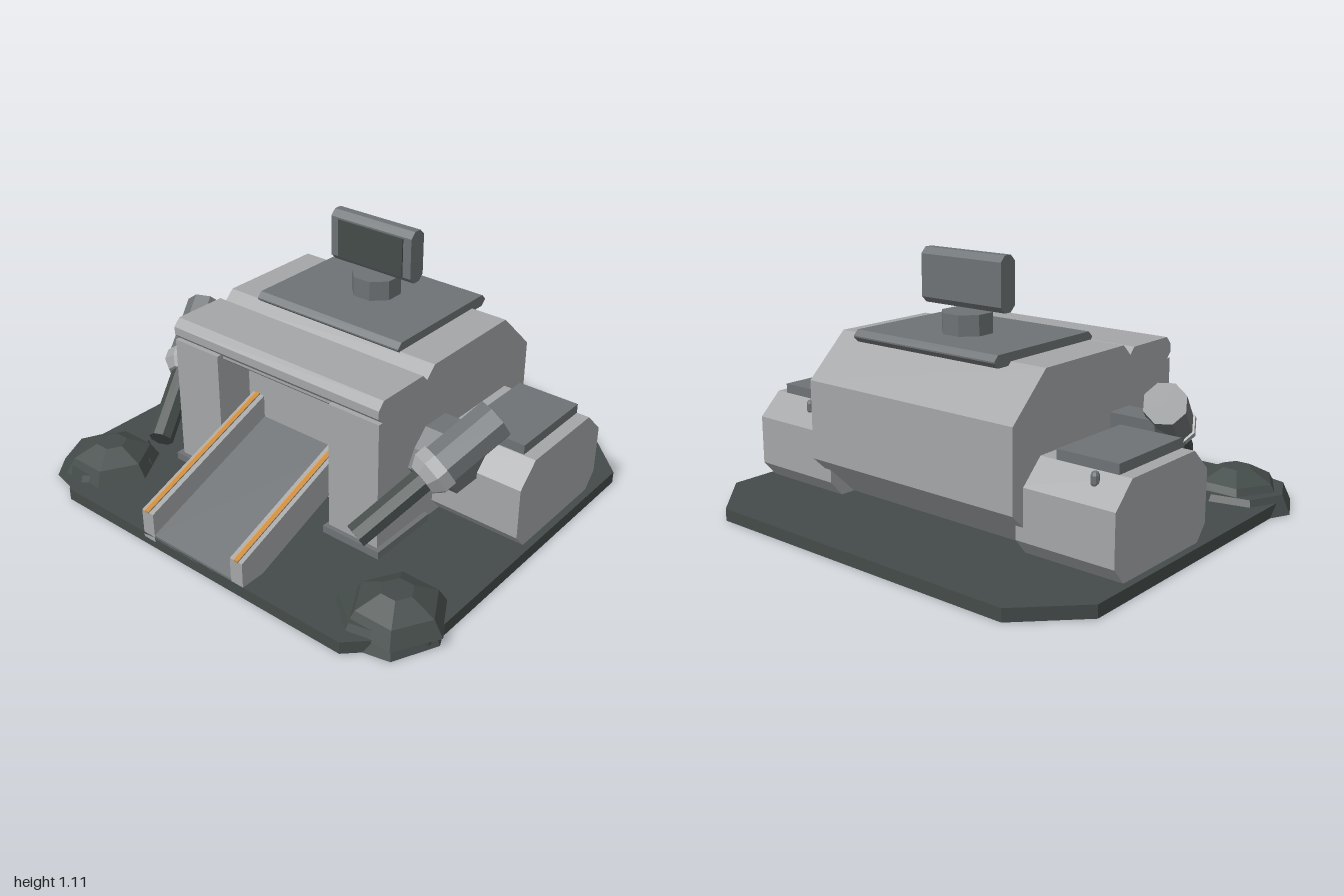
import * as THREE from 'three';

const CX = 0.011; // centre line of the building

const paint = (name, color) => {
  const m = new THREE.MeshStandardMaterial({ color });
  m.name = name;
  return m;
};

// Faceted normals for every face
function flat(geometry) {
  const g = geometry.index ? geometry.toNonIndexed() : geometry;
  g.computeVertexNormals();
  return g;
}

// Extrudes a [z, y] side profile from x0 to x1
function extrudeX(profile, x0, x1) {
  const shape = new THREE.Shape(profile.map(([z, y]) => new THREE.Vector2(z, y)));
  const g = new THREE.ExtrudeGeometry(shape, { depth: x1 - x0, bevelEnabled: false });
  return g.rotateY(-Math.PI / 2).translate(x1, 0, 0);
}

// Box given by its limits
function box(x0, x1, y0, y1, z0, z1) {
  return new THREE.BoxGeometry(x1 - x0, y1 - y0, z1 - z0)
    .translate((x0 + x1) / 2, (y0 + y1) / 2, (z0 + z1) / 2);
}

// Rectangle profile with cut corners
function cutRect(z0, z1, y0, y1, c) {
  return [[z0 + c, y0], [z1 - c, y0], [z1, y0 + c], [z1, y1 - c],
    [z1 - c, y1], [z0 + c, y1], [z0, y1 - c], [z0, y0 + c]];
}

export function createModel() {
  const light = paint('light grey', 0xa3a5a7);
  const mid = paint('mid grey', 0x6e7275);
  const dark = paint('dark green grey', 0x434b49);
  const orange = paint('orange', 0xcb8730);

  const root = new THREE.Group();
  root.name = 'bunker';
  const building = new THREE.Group();
  building.name = 'building';
  building.position.x = CX;
  root.add(building);
  const add = (name, geometry, material, parent = building) => {
    const mesh = new THREE.Mesh(geometry, material);
    mesh.name = name;
    parent.add(mesh);
    return mesh;
  };

  // Base slab with cut corners
  const outline = [[-0.738, -0.905], [0.738, -0.905], [0.968, -0.675], [0.968, 0.675],
    [0.738, 0.9], [-0.738, 0.9], [-0.968, 0.675], [-0.968, -0.675]];
  const slab = new THREE.Shape(outline.map(([x, z]) => new THREE.Vector2(x, -z)));
  add('base', new THREE.ExtrudeGeometry(slab, { depth: 0.052, bevelEnabled: false })
    .rotateX(-Math.PI / 2), dark);

  // Main hall, the beam over the door and the inner door beam
  add('hall', extrudeX([[-0.41, 0.05], [0.25, 0.05], [0.25, 0.7], [0.136, 0.7], [0.085, 0.75],
    [-0.41, 0.75], [-0.6, 0.57], [-0.6, 0.235]], -0.535, 0.535), light);
  add('doorBeam', extrudeX([[0.12, 0.635], [0.4, 0.635], [0.43, 0.665], [0.43, 0.7],
    [0.4, 0.732], [0.16, 0.732], [0.12, 0.69]], -0.535, 0.535), light);
  add('innerDoorBeam', extrudeX([[0.24, 0.597], [0.37, 0.597], [0.395, 0.62], [0.395, 0.64],
    [0.24, 0.64]], -0.3, 0.3), light);

  // Roof plate, post and screen
  add('roofPlate', extrudeX(cutRect(-0.505, 0.1, 0.735, 0.785, 0.022), -0.37, 0.37), mid);
  add('post', flat(new THREE.CylinderGeometry(0.107, 0.107, 0.1, 8).rotateY(Math.PI / 8)
    .translate(0, 0.82, -0.235)), mid);
  add('screenCase', extrudeX(cutRect(-0.275, -0.19, 0.885, 1.11, 0.025), -0.208, 0.208), mid);
  add('screen', box(-0.168, 0.168, 0.912, 1.078, -0.192, -0.184), dark);

  // Entry ramp
  add('ramp', extrudeX([[0.9, 0.045], [0.9, 0.062], [0.25, 0.31], [0.25, 0.2], [0.66, 0.045]],
    -0.212, 0.212), mid);

  for (const s of [-1, 1]) {
    const side = (a, b) => (s > 0 ? [a, b] : [-b, -a]);

    // Door pillar and its foot
    add('pillar', box(...side(0.293, 0.535), 0.05, 0.64, 0.24, 0.427), light);
    add('pillarFoot', box(...side(0.28, 0.557), s > 0 ? -0.001 : 0.01, 0.085, 0.117, 0.447), mid);

    // Ramp rail with a painted top line
    add('rampRail', extrudeX([[0.9, 0.03], [0.9, 0.16], [0.25, 0.41], [0.25, 0.26], [0.85, 0.03]],
      ...side(0.21, 0.272)), light);
    add('railStripe', extrudeX([[0.902, 0.157], [0.902, 0.165], [0.25, 0.416], [0.25, 0.408]],
      ...side(0.233, 0.253)), orange);

    // Side pod with top plate and knob
    add('sidePod', extrudeX([[-0.48, 0.05], [0.01, 0.05], [0.066, 0.115], [0.066, 0.335],
      [-0.03, 0.427], [-0.44, 0.427], [-0.54, 0.33], [-0.54, 0.12]], ...side(0.5, 0.938)), light);
    add('podPlate', box(...side(0.608, 0.882), 0.42, 0.468, -0.44, -0.035), mid);
    add('podKnob', flat(new THREE.CapsuleGeometry(0.017, 0.03, 2, 8)
      .translate(s * 0.745 - 0.06, 0.405, -0.475)), mid);

    // Gun mount
    add('gunMount', extrudeX([[0.02, 0.31], [0.2, 0.31], [0.24, 0.36], [0.2, 0.43],
      [0.13, 0.497], [0.0, 0.497]], ...side(0.53, 0.74)), mid);

    // Gun, built along +y from breech to muzzle and then aimed
    const gun = new THREE.Group();
    gun.name = 'gun';
    const rear = new THREE.Vector3(s * 0.775, 0.57, 0.015);
    const aim = new THREE.Vector3(s * 0.532, 0.215, 0.555).sub(rear);
    const length = aim.length();
    gun.position.copy(rear);
    gun.quaternion.setFromUnitVectors(new THREE.Vector3(0, 1, 0), aim.normalize());
    building.add(gun);
    const tube = (name, r0, r1, t0, t1, material) => add(name,
      flat(new THREE.CylinderGeometry(r1, r0, (t1 - t0) * length, 8)
        .translate(0, (t0 + t1) / 2 * length, 0)), material, gun);
    tube('gunBreech', 0.088, 0.088, 0, 0.42, mid);
    tube('gunCollar', 0.097, 0.097, 0.4, 0.47, light);
    tube('gunCollarTaper', 0.097, 0.066, 0.47, 0.53, light);
    tube('gunBarrel', 0.052, 0.052, 0.5, 1, dark);

    // Corner mound: faceted dome on a low skirt
    const dome = [[0, 0.16], [0.065, 0.16], [0.165, 0.11], [0.205, 0.045], [0, 0.045]]
      .reverse().map(([r, y]) => new THREE.Vector2(r, y));
    add('moundDome', flat(new THREE.LatheGeometry(dome, 6, Math.PI / 6)), dark, root)
      .position.set(s > 0 ? 0.81 : -0.74, 0, 0.645);
    add('moundSkirt', flat(new THREE.CylinderGeometry(0.19, 0.228, 0.08, 7)
      .rotateY(s * Math.PI / 2)), dark, root).position.set(s * 0.772, 0.04, 0.64);
  }
  return root;
}
